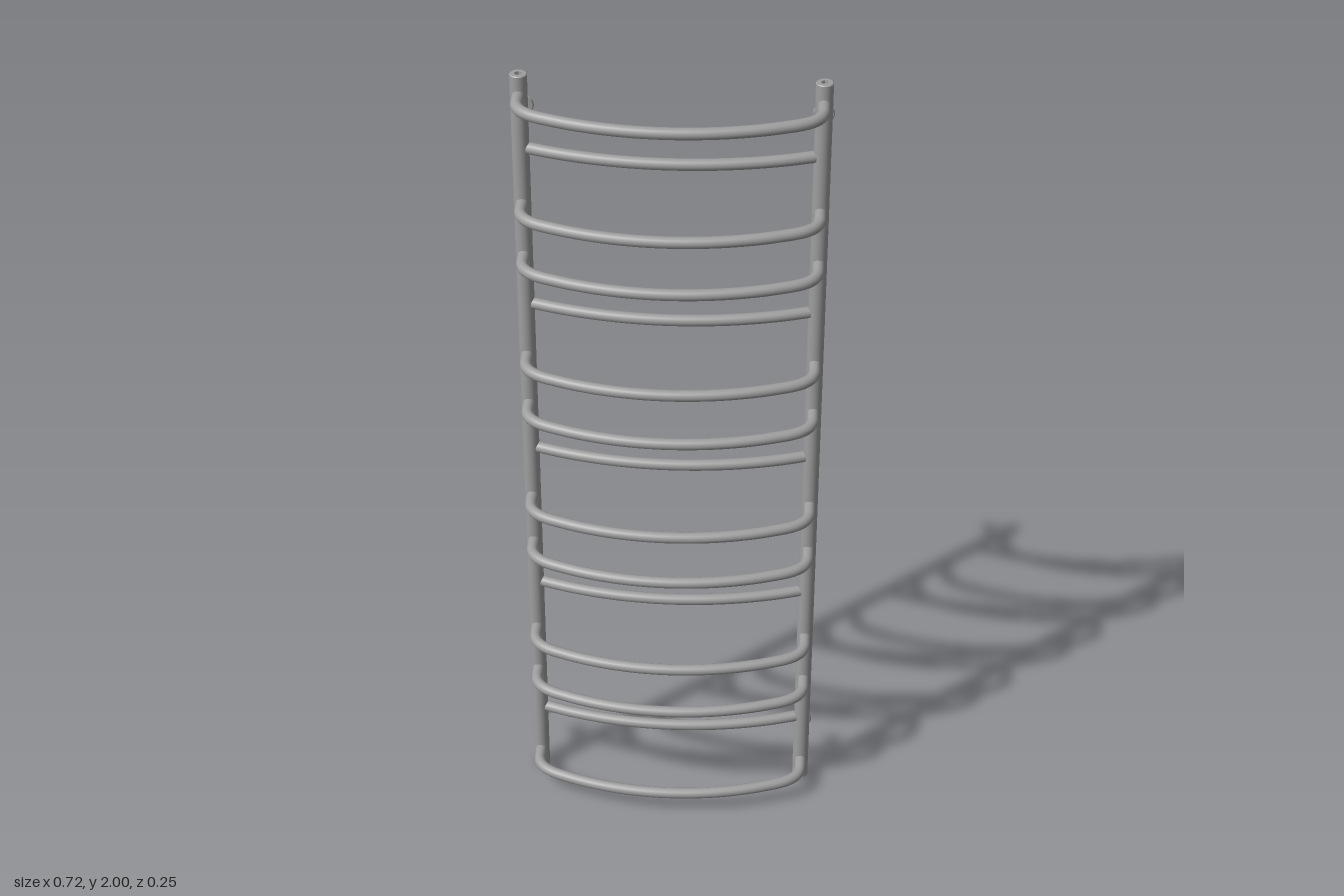
import * as THREE from 'three';

const RAIL_X = 0.335, RAIL_Z = -0.055, RAIL_R = 0.0197, BAR_R = 0.0137;
const metal = new THREE.MeshStandardMaterial({ color: 0x9e9e9e });

function add(parent, name, geometry, x = 0, y = 0, z = 0) {
  const mesh = new THREE.Mesh(geometry, metal);
  mesh.name = name;
  mesh.position.set(x, y, z);
  parent.add(mesh);
  return mesh;
}

// Points of a shallow forward arc, from -halfWidth to +halfWidth
function arcPoints(halfWidth, crownZ, radius, n) {
  const pts = [];
  for (let i = 0; i <= n; i++) {
    const x = halfWidth * (2 * i / n - 1);
    pts.push(new THREE.Vector3(x, 0, crownZ - radius + Math.sqrt(radius * radius - x * x)));
  }
  return pts;
}

// Short bar: one arc directly between the uprights
function innerBarGeometry() {
  const curve = new THREE.CatmullRomCurve3(arcPoints(RAIL_X - 0.005, 0.002, 0.965, 10));
  return new THREE.TubeGeometry(curve, 40, BAR_R, 16);
}

// Long bar: straight legs, rounded corners and a bowed front
function outerBarGeometry() {
  const path = new THREE.CurvePath();
  const arc = arcPoints(0.275, 0.1105, 0.76, 10);
  const v = (x, z) => new THREE.Vector3(x, 0, z);
  const a = arc[0], b = arc[arc.length - 1];
  path.add(new THREE.LineCurve3(v(-RAIL_X, RAIL_Z), v(-RAIL_X, -0.008)));
  path.add(new THREE.CubicBezierCurve3(v(-RAIL_X, -0.008), v(-RAIL_X, 0.028), v(a.x - 0.034, a.z - 0.0135), a));
  path.add(new THREE.CatmullRomCurve3(arc));
  path.add(new THREE.CubicBezierCurve3(b, v(b.x + 0.034, b.z - 0.0135), v(RAIL_X, 0.028), v(RAIL_X, -0.008)));
  path.add(new THREE.LineCurve3(v(RAIL_X, -0.008), v(RAIL_X, RAIL_Z)));
  return new THREE.TubeGeometry(path, 90, BAR_R, 16);
}

// End plug with a hexagonal socket, extruded along +z
function plugGeometry() {
  const shape = new THREE.Shape().absarc(0, 0, 0.0115, 0, Math.PI * 2);
  const hex = new THREE.Path();
  for (let i = 0; i < 6; i++) {
    const t = -(i + 0.5) * Math.PI / 3;
    hex[i ? 'lineTo' : 'moveTo'](0.009 * Math.cos(t), 0.009 * Math.sin(t));
  }
  hex.closePath();
  shape.holes.push(hex);
  return new THREE.ExtrudeGeometry(shape, { depth: 0.008, bevelEnabled: false, curveSegments: 16 });
}

export function createModel() {
  const model = new THREE.Group();
  model.name = 'ladderTowelRail';

  const railGeo = new THREE.CylinderGeometry(RAIL_R, RAIL_R, 1.984, 32);
  const rimGeo = new THREE.LatheGeometry([
    [0.0115, -0.008], [RAIL_R, -0.008], [RAIL_R, -0.002], [0.0175, 0], [0.0115, 0],
  ].flatMap(([r, y], i) => {
    const p = new THREE.Vector2(r, y);
    return i > 0 && i < 4 ? [p, p.clone()] : [p];
  }), 32);
  const plugGeo = plugGeometry();
  const stemGeo = new THREE.CylinderGeometry(0.0088, 0.0088, 0.068, 20);
  // Wall plate: thin disc with a tapered front
  const plateGeo = new THREE.CylinderGeometry(0.0245, 0.022, 0.005, 28);

  for (const side of [-1, 1]) {
    const upright = new THREE.Group();
    upright.name = side > 0 ? 'leftUpright' : 'rightUpright';
    upright.position.set(side * RAIL_X, 0, RAIL_Z);
    model.add(upright);
    add(upright, 'rail', railGeo, 0, 1, 0);

    // Rim and socket plug at both ends
    for (const end of [-1, 1]) {
      const cap = new THREE.Group();
      cap.name = end > 0 ? 'topCap' : 'bottomCap';
      cap.position.y = end > 0 ? 2 : 0;
      if (end < 0) cap.rotation.x = Math.PI;
      upright.add(cap);
      add(cap, 'rim', rimGeo);
      add(cap, 'plug', plugGeo, 0, -0.008, 0).rotation.x = -Math.PI / 2;
    }

    // Wall brackets
    for (const y of [0.127, 1.887]) {
      const bracket = new THREE.Group();
      bracket.name = 'wallBracket';
      bracket.position.y = y;
      bracket.rotation.x = -Math.PI / 2;
      upright.add(bracket);
      add(bracket, 'stem', stemGeo, 0, 0.034, 0);
      add(bracket, 'plate', plateGeo, 0, 0.0675, 0);
    }
  }

  // Fifteen bars: every third one is a short inner bar
  const inner = innerBarGeometry(), outer = outerBarGeometry();
  for (let i = 0; i < 15; i++) {
    const short = i % 3 === 1;
    add(model, short ? 'innerBar' : 'outerBar', short ? inner : outer, 0, 0.062 + i * 0.135, 0);
  }
  return model;
}
